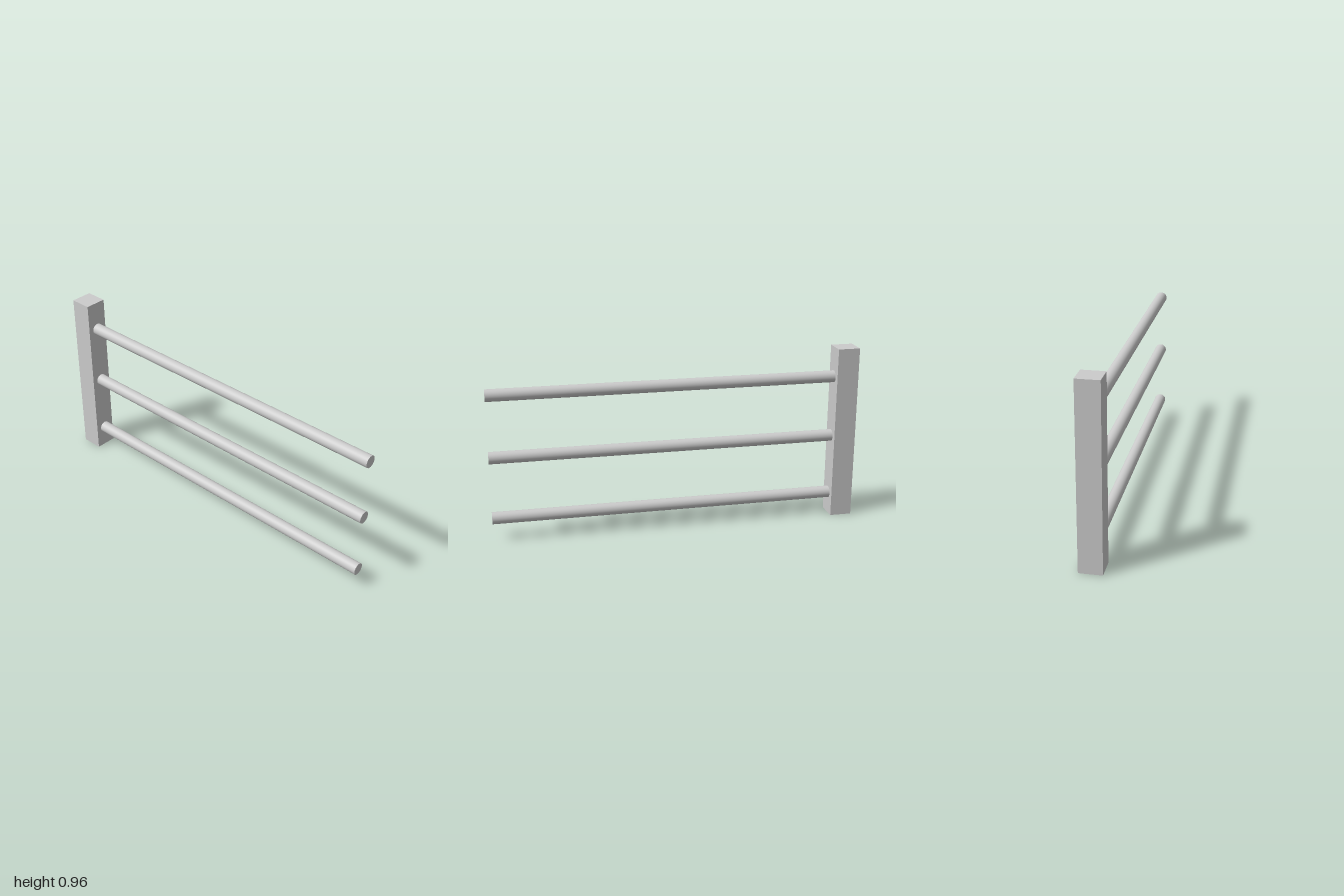
import * as THREE from 'three';

export function createModel() {
  const group = new THREE.Group();
  const material = new THREE.MeshStandardMaterial({ color: 0xcccccc });

  // Square upright post at the model's right end
  const postWidth = 0.12, postHeight = 0.96;
  const post = new THREE.Mesh(new THREE.BoxGeometry(postWidth, postHeight, postWidth), material);
  post.name = 'post';
  post.position.set(-1 + postWidth / 2, postHeight / 2, 0);
  group.add(post);

  // Three round rails, set slightly into the post
  const railStart = -1 + postWidth - 0.01, railEnd = 1;
  const railGeometry = new THREE.CylinderGeometry(0.0325, 0.0325, railEnd - railStart, 48);
  railGeometry.rotateZ(-Math.PI / 2);
  ['lowerRail', 'middleRail', 'upperRail'].forEach((name, i) => {
    const rail = new THREE.Mesh(railGeometry, material);
    rail.name = name;
    rail.position.set((railStart + railEnd) / 2, 0.1225 + i * 0.3375, 0);
    group.add(rail);
  });

  return group;
}
